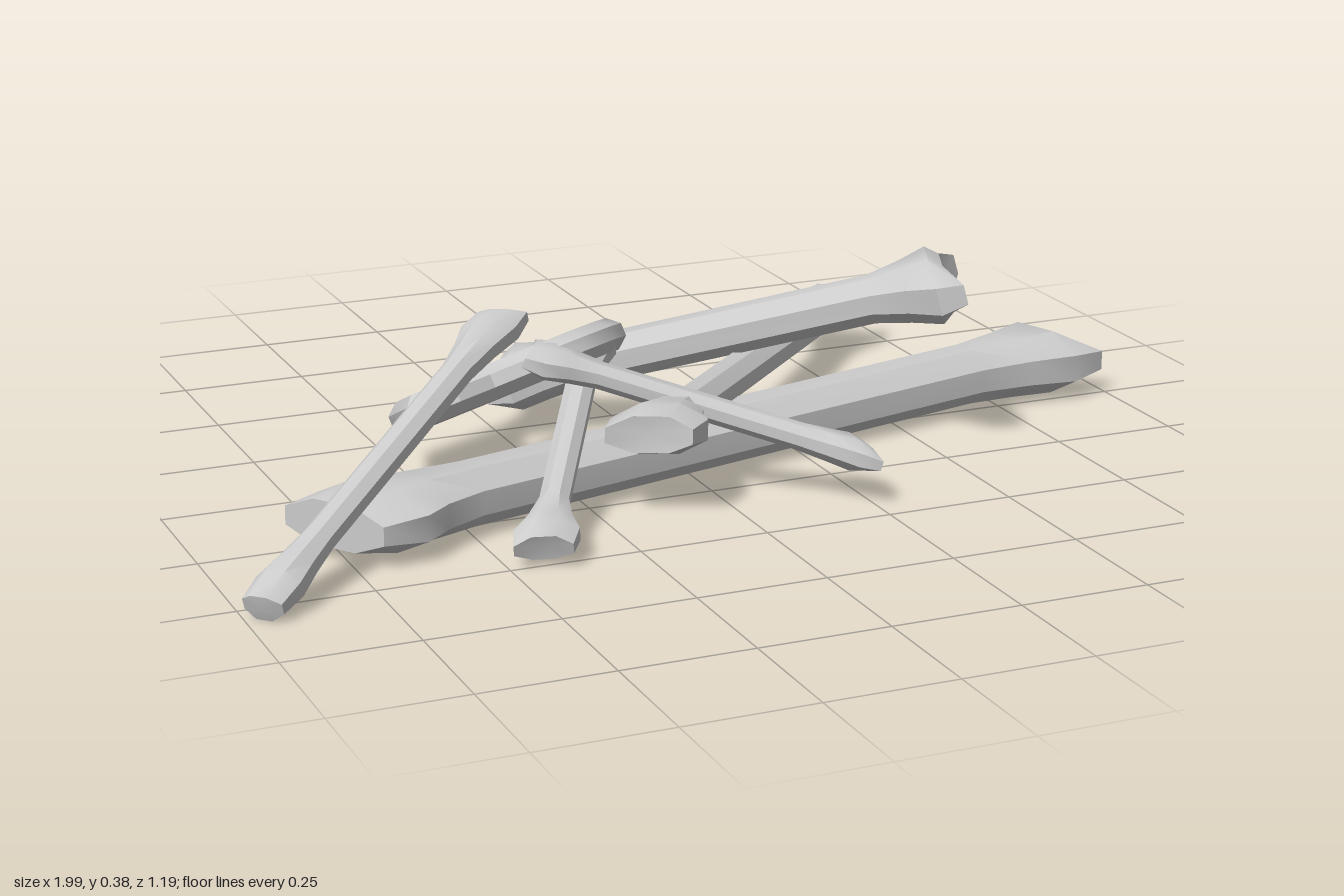
import * as THREE from 'three';
import { toCreasedNormals } from 'three/addons/utils/BufferGeometryUtils.js';

const SIDES = 8;
const material = new THREE.MeshStandardMaterial({ color: 0xcccccc });
const vec = (p) => new THREE.Vector3(...p);

// A long bone lofted between two pairs of knuckle tips; r, h = shaft half width and half height,
// endH = half height of the knuckles, flare = length of the widening, notch = dip between the tips
// (endH and notch hold one value per end).
function longBone({ name, a, b, r, h, endH, flare, notch }) {
  const [a1, a2, b1, b2] = [...a, ...b].map(vec);
  const ca = a1.clone().add(a2).multiplyScalar(0.5);
  const cb = b1.clone().add(b2).multiplyScalar(0.5);
  const d = cb.clone().sub(ca).normalize();
  const side = new THREE.Vector3(0, 1, 0).cross(d).normalize();
  const up = d.clone().cross(side);
  const la = a1.clone().sub(a2).multiplyScalar(0.5);
  const lb = b1.clone().sub(b2).multiplyScalar(0.5);
  const shaft = side.clone().multiplyScalar(r);

  // Sections: centre, inward offset, lateral vector, half height, notch depth
  const sections = (c, l, s, e) => [
    [c, 0, l.clone().multiplyScalar(0.9), endH[e] * 0.72, notch[e] * s],
    [c, flare * 0.3 * s, l, endH[e], 0],
    [c, flare * 0.62 * s, l.clone().lerp(shaft, 0.6), (endH[e] + h) / 2, 0],
    [c, flare * s, shaft, h, 0],
  ];
  const rings = [...sections(ca, la, 1, 0), ...sections(cb, lb, -1, 1).reverse()];
  const pos = [], index = [];
  const fit = 1 / Math.cos(Math.PI / SIDES);
  for (const [c, off, lat, height, dip] of rings) {
    for (let j = 0; j < SIDES; j++) {
      const t = ((j + 0.5) / SIDES) * Math.PI * 2;
      const u = Math.cos(t) * fit, v = Math.sin(t) * fit;
      const p = c.clone()
        .addScaledVector(lat, u)
        .addScaledVector(up, v * height)
        .addScaledVector(d, off + dip * (1 - Math.abs(u)));
      pos.push(p.x, p.y, p.z);
    }
  }
  for (let i = 0; i < rings.length - 1; i++) {
    for (let j = 0; j < SIDES; j++) {
      const k = (j + 1) % SIDES, n = i * SIDES, m = n + SIDES;
      index.push(n + j, n + k, m + k, n + j, m + k, m + j);
    }
  }
  // Notched end caps
  const start = rings.length * SIDES, last = start - SIDES;
  pos.push(...ca.clone().addScaledVector(d, notch[0]).toArray());
  pos.push(...cb.clone().addScaledVector(d, -notch[1]).toArray());
  for (let j = 0; j < SIDES; j++) {
    const k = (j + 1) % SIDES;
    index.push(start, k, j, start + 1, last + j, last + k);
  }
  const geo = new THREE.BufferGeometry();
  geo.setAttribute('position', new THREE.Float32BufferAttribute(pos, 3));
  geo.setIndex(index);
  const mesh = new THREE.Mesh(toCreasedNormals(geo, 0.7), material);
  mesh.name = name;
  return mesh;
}

// Flat, irregular hip bone with a large opening, leaning up toward the front and its left
function hipBone() {
  const toPoints = (list) => list.map(([x, v]) => new THREE.Vector2(x, -v));
  const shape = new THREE.Shape(toPoints([
    [-0.26, 0.02], [-0.25, 0.15], [-0.16, 0.17], [-0.08, 0.13], [0.02, 0.15], [0.11, 0.13],
    [0.19, 0.05], [0.25, -0.08], [0.2, -0.18], [0.11, -0.21], [0, -0.25], [-0.21, -0.12],
  ]));
  shape.holes.push(new THREE.Path(toPoints([
    [-0.07, -0.06], [-0.01, -0.16], [0.09, -0.15], [0.17, -0.12],
    [0.19, -0.07], [0.13, 0.05], [0.02, 0.06],
  ])));
  const geo = new THREE.ExtrudeGeometry(shape, {
    depth: 0.026, bevelEnabled: true, bevelThickness: 0.02, bevelSize: 0.022,
    bevelOffset: -0.018, bevelSegments: 1,
  });
  geo.translate(0, 0, -0.013);
  geo.rotateX(-Math.PI / 2 - 0.41);
  geo.rotateZ(0.27);
  geo.translate(-0.3, 0.21, 0);
  const mesh = new THREE.Mesh(toCreasedNormals(geo, 0.6), material);
  mesh.name = 'hipBone';
  return mesh;
}

export function createModel() {
  const group = new THREE.Group();
  group.name = 'bonePile';
  const bones = [
    { name: 'largeGroundBone', r: 0.062, h: 0.056, endH: [0.06, 0.066], flare: 0.28, notch: [0, 0.09],
      a: [[-0.84, 0.077, 0.23], [-0.7, 0.077, 0.43]], b: [[0.915, 0.08, -0.2], [0.995, 0.08, 0.01]] },
    { name: 'middleBone', r: 0.04, h: 0.036, endH: [0.048, 0.046], flare: 0.2, notch: [0.02, 0.05],
      a: [[-0.26, 0.18, 0.33], [-0.1, 0.18, 0.41]], b: [[0.595, 0.1, -0.6], [0.725, 0.1, -0.51]] },
    { name: 'leaningBone', r: 0.05, h: 0.045, endH: [0.058, 0.066], flare: 0.18, notch: [0.04, 0.05],
      a: [[-0.165, 0.085, -0.43], [-0.28, 0.09, -0.23]], b: [[0.61, 0.345, 0.06], [0.515, 0.345, 0.285]] },
    { name: 'longThinBone', r: 0.029, h: 0.027, endH: [0.035, 0.033], flare: 0.19, notch: [-0.01, 0.02],
      a: [[-1.0, 0.037, 0.53], [-0.94, 0.037, 0.59]], b: [[-0.37, 0.325, -0.02], [-0.275, 0.325, 0.02]] },
    { name: 'shortThinBone', r: 0.026, h: 0.024, endH: [0.032, 0.032], flare: 0.14, notch: [0.01, 0.02],
      a: [[-0.28, 0.28, 0.05], [-0.34, 0.275, 0.15]], b: [[0.255, 0.095, 0.355], [0.255, 0.09, 0.46]] },
    { name: 'smallLeaningBone', r: 0.027, h: 0.025, endH: [0.035, 0.035], flare: 0.14, notch: [0.01, 0.02],
      a: [[-0.5, 0.047, 0.5], [-0.385, 0.047, 0.53]], b: [[-0.185, 0.25, -0.04], [-0.075, 0.25, -0.03]] },
  ];
  for (const bone of bones) group.add(longBone(bone));
  group.add(hipBone());
  return group;
}
